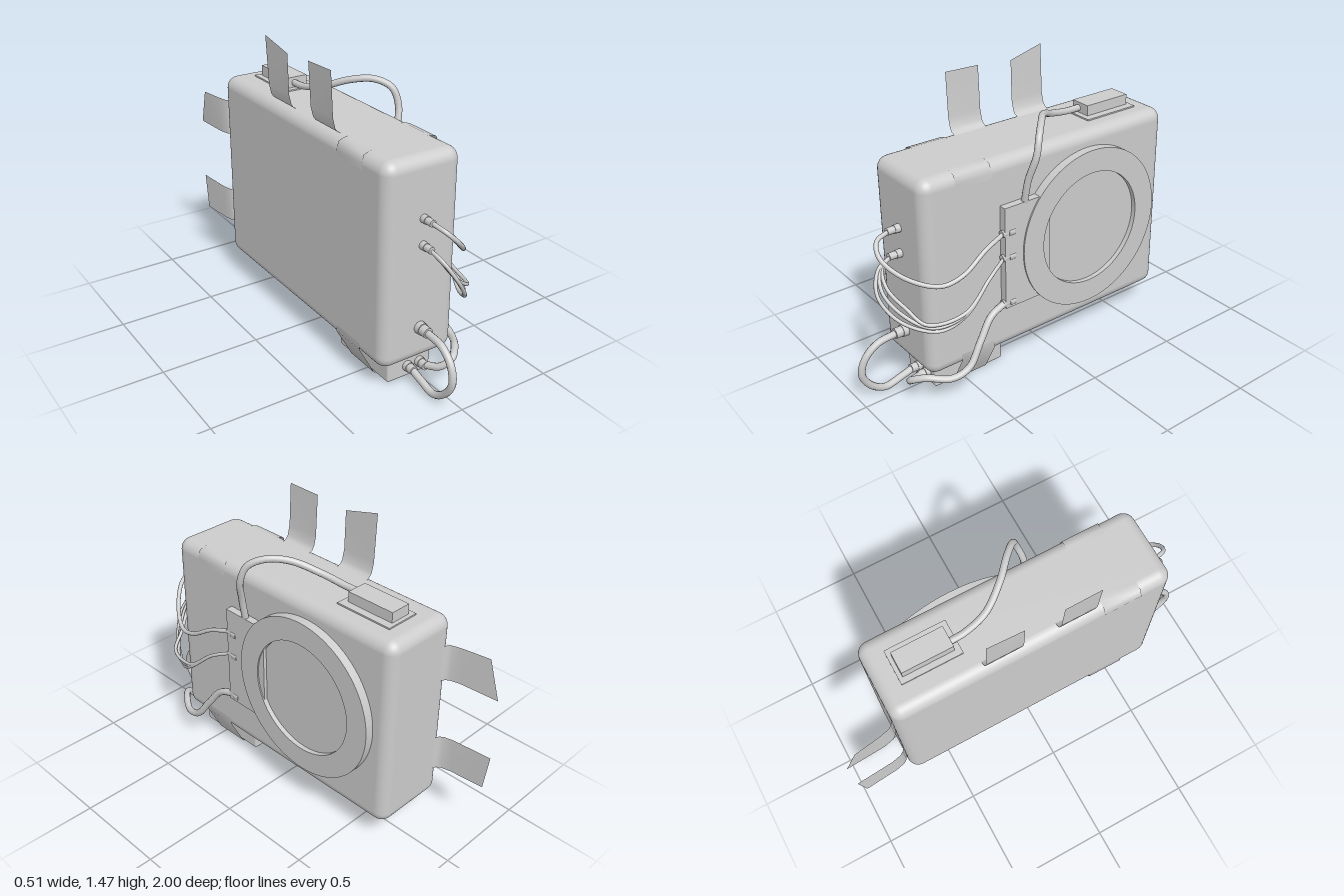
import * as THREE from 'three';
import { RoundedBoxGeometry } from 'three/addons/geometries/RoundedBoxGeometry.js';

export function createModel() {
  const model = new THREE.Group();
  const grey = new THREE.MeshStandardMaterial({ color: 0xcccccc });
  const sheetGrey = new THREE.MeshStandardMaterial({ color: 0xcccccc, side: THREE.DoubleSide });

  function add(name, geometry, material = grey) {
    const mesh = new THREE.Mesh(geometry, material);
    mesh.name = name;
    model.add(mesh);
    return mesh;
  }

  // Box given by its two opposite corners, rounded when r > 0
  function block(name, [x0, y0, z0], [x1, y1, z1], r = 0, segments = 2) {
    const size = [x1 - x0, y1 - y0, z1 - z0];
    const geo = r ? new RoundedBoxGeometry(...size, segments, r) : new THREE.BoxGeometry(...size);
    add(name, geo).position.set((x0 + x1) / 2, (y0 + y1) / 2, (z0 + z1) / 2);
  }

  // Thin sheet through rows of [left point, right point]
  function sheet(name, rows) {
    const index = [];
    for (let i = 0; i < rows.length - 1; i++) {
      const a = i * 2;
      index.push(a, a + 1, a + 2, a + 1, a + 3, a + 2);
    }
    const geo = new THREE.BufferGeometry();
    geo.setAttribute('position', new THREE.Float32BufferAttribute(rows.flat(2), 3));
    geo.setIndex(index);
    geo.computeVertexNormals();
    add(name, geo, sheetGrey);
  }

  // Round plug lying along z, with a collar and a narrower sleeve
  function plug(name, x, y, z0, z1, r) {
    const mid = (z0 + z1) / 2;
    for (const [part, a, b, radius] of [['Collar', z0, mid, r], ['Sleeve', mid, z1, r * 0.85]]) {
      const geo = new THREE.CylinderGeometry(radius, radius, b - a, 14).rotateX(Math.PI / 2);
      add(name + part, geo).position.set(x, y, (a + b) / 2);
    }
  }

  function cable(name, r, points) {
    const curve = new THREE.CatmullRomCurve3(points.map(p => new THREE.Vector3(...p)));
    add(name, new THREE.TubeGeometry(curve, 64, r, 10));
  }

  // Main case
  block('case', [-0.25, 0.13, -0.72], [0.16, 1.15, 0.73], 0.06, 4);

  // Round side cover: raised ring around a shallow floor
  const ringShape = new THREE.Shape().absarc(0, 0, 0.42, 0, Math.PI * 2);
  ringShape.holes.push(new THREE.Path().absarc(0, 0, 0.3, 0, Math.PI * 2, true));
  const ring = new THREE.ExtrudeGeometry(ringShape, { depth: 0.055, bevelEnabled: false, curveSegments: 48 });
  add('coverRing', ring.rotateY(Math.PI / 2)).position.set(0.15, 0.65, -0.21);
  const floor = new THREE.CylinderGeometry(0.305, 0.305, 0.03, 64).rotateZ(Math.PI / 2);
  add('coverFloor', floor).position.set(0.165, 0.65, -0.21);
  block('connectorPlate', [0.15, 0.38, 0.05], [0.198, 0.92, 0.315]);

  // Sensor on the top and battery under the case
  block('sensorBase', [-0.12, 1.14, -0.61], [0.06, 1.157, -0.3]);
  block('sensorBox', [-0.09, 1.15, -0.59], [0.02, 1.21, -0.33]);
  block('batteryBox', [-0.165, 0.005, 0.26], [0.08, 0.12, 0.66], 0.012);

  // Strap round case and battery, sunk into the flat sides
  const strapPath = [
    [0.08, 0.003], [0.163, 0.165], [0.155, 0.25], [0.155, 1.02], [0.163, 1.1], [0.15, 1.14],
    [0.11, 1.153], [0.05, 1.145], [-0.14, 1.145], [-0.2, 1.153], [-0.24, 1.14], [-0.253, 1.1],
    [-0.245, 1.02], [-0.245, 0.25], [-0.253, 0.165], [-0.165, 0.003], [0.08, 0.003],
  ];
  sheet('batteryStrap', strapPath.map(([x, y]) => [[x, y, 0.555], [x, y, 0.36]]));

  // Loose flaps: each bends away from the case edge; u runs outwards
  const bend = [[-0.19, 0], [-0.215, 0.012], [-0.228, 0.03], [-0.24, 0.08]];
  function flap(name, a, b, lengthA, lengthB, tipA, tipB, place) {
    const rows = bend.map(([x, u]) => [place(x, u, a), place(x, u, b)]);
    rows.push([place(tipA, lengthA, a), place(tipB, lengthB, b)]);
    sheet(name, rows);
  }
  const onTop = (x, u, s) => [x, 1.148 + u, s];
  const onBack = (x, u, s) => [x, s, -0.718 - u];
  flap('topFrontFlap', 0.315, 0.13, 0.302, 0.297, -0.25, -0.25, onTop);
  flap('topRearFlap', -0.06, -0.25, 0.282, 0.327, -0.245, -0.252, onTop);
  flap('backUpperFlap', 1.0, 0.81, 0.215, 0.282, -0.26, -0.252, onBack);
  flap('backLowerFlap', 0.48, 0.29, 0.282, 0.258, -0.255, -0.255, onBack);

  // Plugs on the front, the side plate and the battery
  plug('frontUpperPlug', -0.045, 0.86, 0.72, 0.795, 0.021);
  plug('frontMiddlePlug', -0.045, 0.73, 0.72, 0.795, 0.021);
  plug('frontLowerPlug', -0.045, 0.31, 0.72, 0.795, 0.031);
  for (const y of [0.785, 0.655, 0.405]) plug('sidePlug', 0.182, y, 0.255, 0.325, 0.021);
  for (const x of [-0.055, 0.015]) plug('batteryPlug', x, 0.065, 0.65, 0.715, 0.026);

  // Cables
  cable('sensorCable', 0.017, [
    [-0.05, 1.18, -0.35], [-0.045, 1.183, -0.25], [-0.015, 1.21, -0.13], [0.07, 1.262, -0.01],
    [0.155, 1.272, 0.07], [0.215, 1.235, 0.13], [0.234, 1.15, 0.16], [0.205, 1.03, 0.185], [0.182, 0.91, 0.19],
  ]);
  cable('upperFrontCable', 0.011, [
    [-0.045, 0.86, 0.78], [-0.025, 0.84, 0.86], [0.03, 0.785, 0.88], [0.12, 0.7, 0.81],
    [0.2, 0.648, 0.68], [0.218, 0.67, 0.57], [0.205, 0.75, 0.43], [0.182, 0.785, 0.31],
  ]);
  [0, 1, 2].forEach(i => cable('middleFrontCable', 0.009, [
    [-0.045, 0.73, 0.78], [-0.03, 0.695, 0.86 - i * 0.01], [0.025, 0.6 + i * 0.01, 0.905 - i * 0.025],
    [0.11, 0.485 + i * 0.025, 0.85 - i * 0.02], [0.2, 0.415 + i * 0.03, 0.7 + i * 0.03],
    [0.243, 0.47 + i * 0.008, 0.58], [0.22, 0.605, 0.42], [0.182, 0.655, 0.31],
  ]));
  cable('batteryLoopCable', 0.018, [
    [-0.045, 0.31, 0.78], [-0.045, 0.295, 0.89], [-0.047, 0.235, 0.96], [-0.05, 0.15, 0.981],
    [-0.052, 0.07, 0.935], [-0.055, 0.026, 0.86], [-0.055, 0.045, 0.77], [-0.055, 0.065, 0.7],
  ]);
  cable('batterySideCable', 0.018, [
    [0.015, 0.065, 0.7], [0.05, 0.085, 0.775], [0.095, 0.125, 0.802], [0.15, 0.148, 0.755],
    [0.215, 0.135, 0.65], [0.228, 0.165, 0.56], [0.212, 0.27, 0.48], [0.192, 0.37, 0.4], [0.182, 0.405, 0.31],
  ]);

  return model;
}
